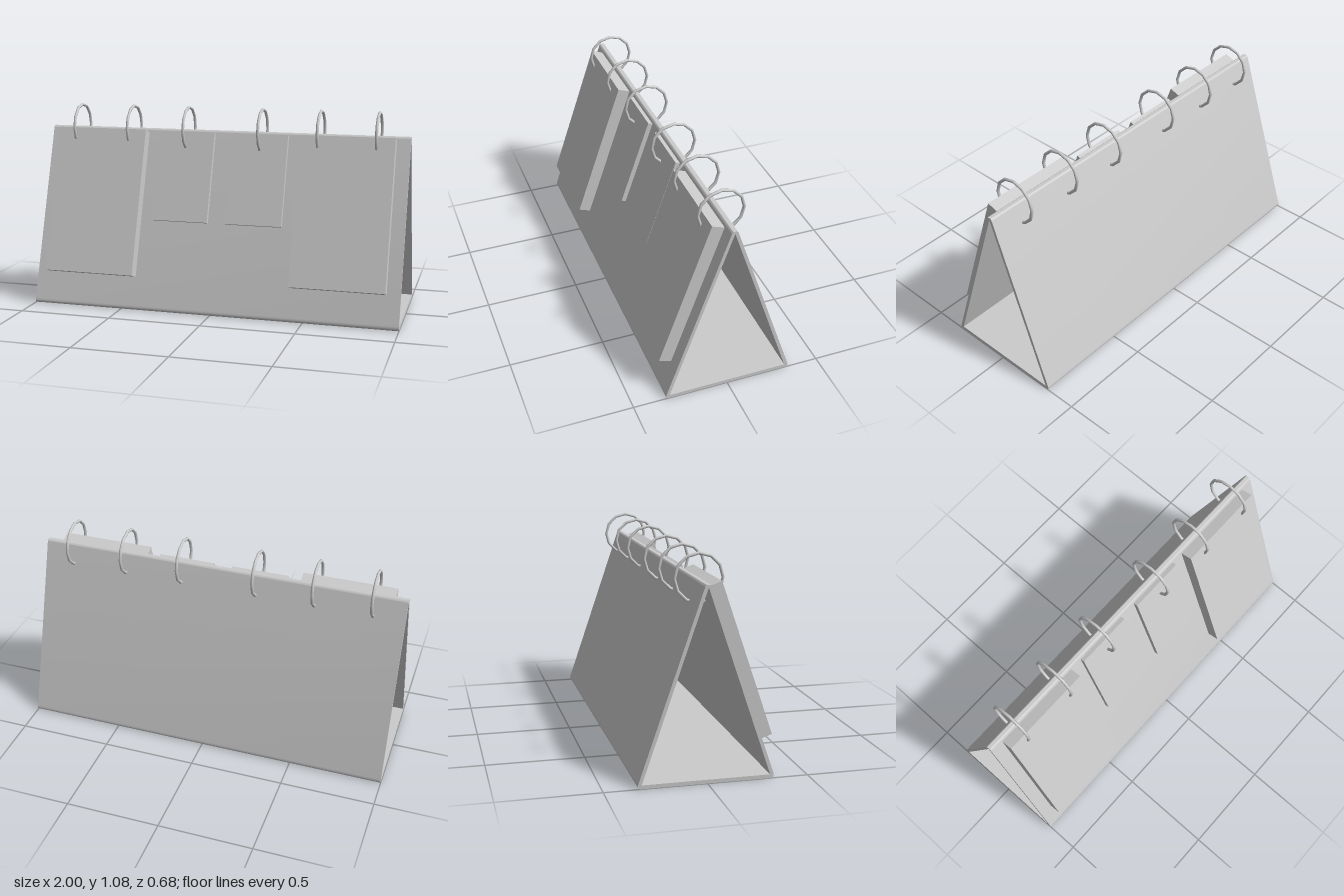
import * as THREE from 'three';
import { toCreasedNormals } from 'three/addons/utils/BufferGeometryUtils.js';

const material = new THREE.MeshStandardMaterial({ color: 0xcccccc });
const MID_Z = -0.004; // ridge line of the stand
const LEAN = -0.33; // tilt of the front panel

// Folded triangular stand: a hollow profile extruded along x
function makeStand() {
  const s = new THREE.Shape();
  s.moveTo(-0.316, 0);
  s.lineTo(0.316, 0);
  s.quadraticCurveTo(0.339, 0, 0.330, 0.026);
  s.lineTo(0.017, 0.940);
  s.quadraticCurveTo(0.014, 0.950, 0.008, 0.950);
  s.lineTo(-0.008, 0.950);
  s.quadraticCurveTo(-0.014, 0.950, -0.017, 0.940);
  s.lineTo(-0.330, 0.026);
  s.quadraticCurveTo(-0.339, 0, -0.316, 0);

  const hole = new THREE.Path();
  hole.moveTo(-0.314, 0.019);
  hole.lineTo(0, 0.938);
  hole.lineTo(0.314, 0.019);
  hole.closePath();
  s.holes.push(hole);

  const extruded = new THREE.ExtrudeGeometry(s, { depth: 2, bevelEnabled: false, curveSegments: 5 });
  const geometry = toCreasedNormals(extruded, 0.7);
  geometry.rotateY(-Math.PI / 2);
  geometry.translate(1, 0, MID_Z);
  const stand = new THREE.Mesh(geometry, material);
  stand.name = 'stand';
  return stand;
}

// Block of pages lying on the front panel
function makePad(name, width, height, depth, x, y, z) {
  const pad = new THREE.Mesh(new THREE.BoxGeometry(width, height, depth), material);
  pad.name = name;
  pad.position.set(x, y, z);
  pad.rotation.x = LEAN;
  return pad;
}

export function createModel() {
  const group = new THREE.Group();
  group.name = 'flipCalendar';
  group.add(makeStand());

  const ringGeometry = new THREE.TorusGeometry(0.118, 0.008, 8, 12);
  ringGeometry.rotateY(Math.PI / 2);

  for (const side of [1, -1]) {
    const label = side > 0 ? 'left' : 'right';
    group.add(makePad(label + 'LargePad', 0.5, 0.8, 0.067, side * 0.678, 0.5625, 0.179));
    group.add(makePad(label + 'SmallPad', 0.308, 0.49, 0.025, side * 0.203, 0.705, 0.109));

    // Binding rings: two per large pad, one per small pad
    [0.207, 0.525, 0.833].forEach((x, i) => {
      const ring = new THREE.Mesh(ringGeometry, material);
      ring.name = label + 'Ring' + (i + 1);
      ring.position.set(side * x, 0.954, MID_Z);
      group.add(ring);
    });
  }
  return group;
}
